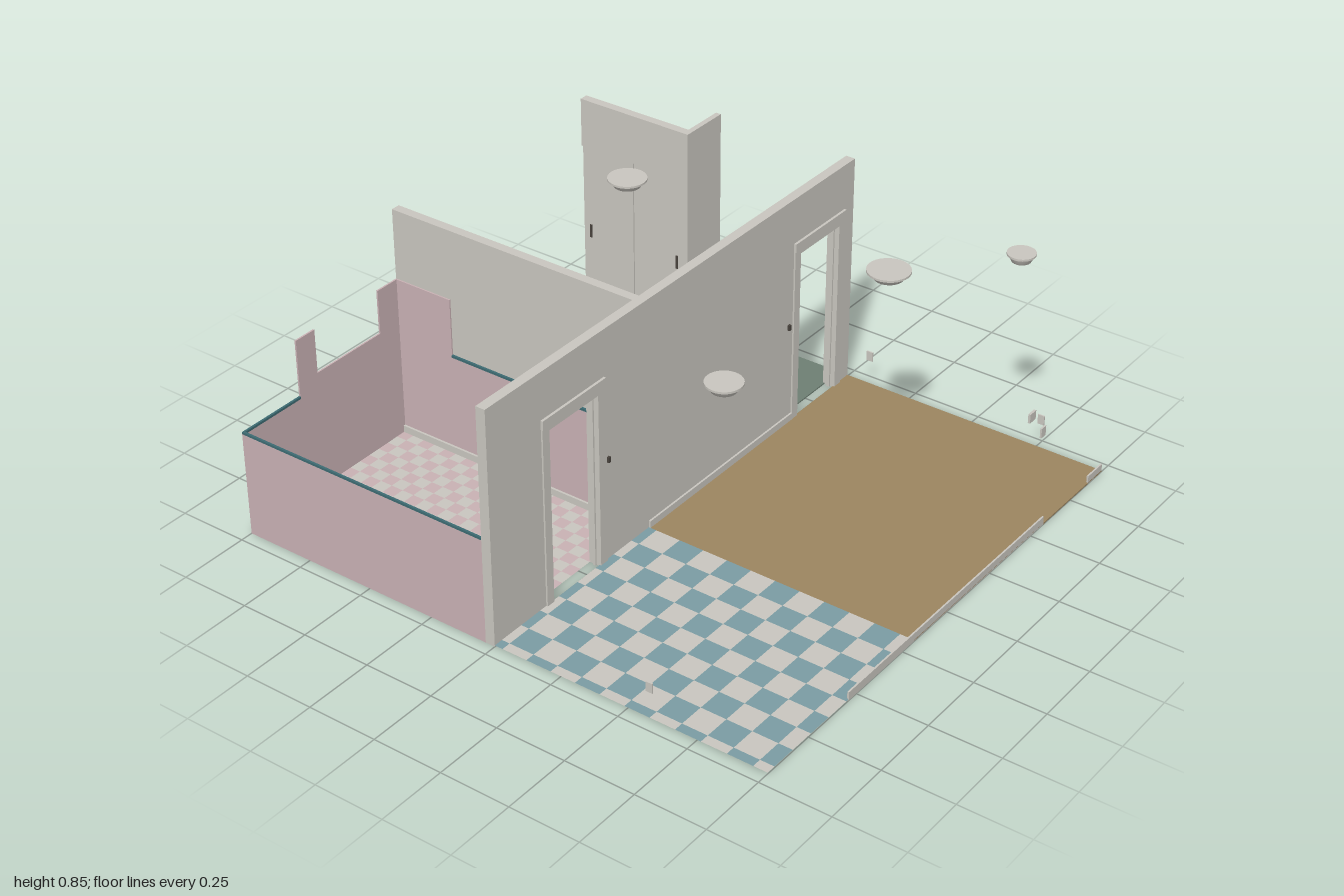
import * as THREE from 'three';
import { mergeGeometries } from 'three/addons/utils/BufferGeometryUtils.js';

const D = 0.955; // half depth of the plan
const WX = -0.035; // left face of the long inner wall (right face is x = 0)
const FLOOR = 0.005;

function mat(name, hex, side = THREE.FrontSide) {
  const m = new THREE.MeshStandardMaterial({ color: hex, side });
  m.name = name;
  return m;
}

export function createModel() {
  const root = new THREE.Group();
  root.name = 'apartment';
  const wall = mat('warm grey', 0xc9c6bf);
  const pale = mat('pale tile', 0xc9c6bf, THREE.DoubleSide);
  const pink = mat('pink wall', 0xc9b1b4);
  const pinkTile = mat('pink tile', 0xc9b1b4, THREE.DoubleSide);
  const blueTile = mat('blue tile', 0x7b9ca3, THREE.DoubleSide);
  const green = mat('green carpet', 0x6e7f73);
  const tan = mat('tan carpet', 0x9c8560);
  const wood = mat('brown wood', 0x67483a);
  const teal = mat('teal trim', 0x3d6b72);
  const dark = mat('dark metal', 0x4a443e);

  const add = (name, geo, material, parent = root) => {
    const m = new THREE.Mesh(geo, material);
    m.name = name;
    parent.add(m);
    return m;
  };
  // Box given by its limits on each axis
  const box = (name, material, x0, x1, y0, y1, z0, z1, parent = root) => {
    const g = new THREE.BoxGeometry(x1 - x0, y1 - y0, z1 - z0);
    g.translate((x0 + x1) / 2, (y0 + y1) / 2, (z0 + z1) / 2);
    return add(name, g, material, parent);
  };
  // Upright slab: outline in (z, y), thickness along x
  const sideSlab = (name, material, pts, x0, thick) => {
    const shape = new THREE.Shape(pts.map(([z, y]) => new THREE.Vector2(-z, y)));
    const g = new THREE.ExtrudeGeometry(shape, { depth: thick, bevelEnabled: false });
    g.rotateY(Math.PI / 2).translate(x0, 0, 0);
    return add(name, g, material);
  };

  // Carpeted floors
  box('greenFloor', green, -1, WX, 0, FLOOR, -D, 0.18);
  box('tanFloor', tan, 0, 1, 0, FLOOR, -D, 0.185);

  // Chequered floors, clipped to their room
  const checker = (name, x0, x1, z0, z1, startX, size, materials, flip) => {
    const sets = [[], []];
    for (let j = 0; z0 + j * size < z1 - 1e-4; j++) {
      for (let i = 0; startX + i * size < x1 - 1e-4; i++) {
        const a = Math.max(x0, startX + i * size), b = Math.min(x1, startX + (i + 1) * size);
        const c = z0 + j * size, d = Math.min(z1, c + size);
        const g = new THREE.PlaneGeometry(b - a, d - c).rotateX(-Math.PI / 2);
        sets[(i + j + flip) % 2].push(g.translate((a + b) / 2, FLOOR, (c + d) / 2));
      }
    }
    sets.forEach((s, k) => add(name + (k ? 'PaleTiles' : 'ColourTiles'), mergeGeometries(s), materials[k]));
  };
  checker('kitchenFloor', 0, 1, 0.185, D, 0.03 - 0.092, 0.092, [blueTile, pale], 0);
  checker('bathroomFloor', -1, WX, 0.215, D, -1, 0.0462, [pinkTile, pale], 0);

  // Long inner wall with two door openings
  const doors = [[0.44, 0.675], [-0.865, -0.64]];
  const outline = [[D, 0], [D, 0.845], [-D, 0.845], [-D, 0]];
  for (const [a, b] of [...doors].reverse()) outline.push([a, 0], [a, 0.632], [b, 0.632], [b, 0]);
  sideSlab('innerWall', wall, outline, WX, -WX);

  // Door casings on both faces
  for (const [a, b] of doors) {
    const casing = new THREE.Group();
    casing.name = 'doorCasing';
    root.add(casing);
    for (const [x0, x1, s] of [[0, 0.006, 1], [WX - 0.006, WX, -1]]) {
      box('casingPost', wall, x0, x1, 0, 0.632, a - 0.035, a, casing);
      box('casingPost', wall, x0, x1, 0, 0.632, b, b + 0.032, casing);
      box('casingHead', wall, x0, x1, 0.632, 0.648, a - 0.035, b + 0.032, casing);
      const e = s > 0 ? [0, 0.009] : [WX - 0.009, WX];
      box('casingCap', wall, ...e, 0.648, 0.68, a - 0.036, b + 0.033, casing);
    }
    // Jamb stops lining the opening
    box('jambStop', wall, -0.023, -0.012, 0, 0.632, a, a + 0.006, casing);
    box('jambStop', wall, -0.023, -0.012, 0, 0.632, b - 0.006, b, casing);
  }
  for (const z of [0.39, -0.585]) {
    box('wallSwitch', dark, 0, 0.008, 0.365, 0.385, z - 0.005, z + 0.005);
    box('wallSwitch', wall, WX - 0.008, WX, 0.36, 0.39, z - 0.012, z + 0.012);
  }

  // Cross wall between the green room and the bathroom
  box('crossWall', wall, -1, WX, 0, 0.845, 0.18, 0.213);

  // Bathroom wainscot with its teal edge
  box('frontWainscot', pink, -1, WX, 0, 0.376, D - 0.006, D);
  box('frontTrim', teal, -1, WX, 0.376, 0.384, D - 0.008, D);
  sideSlab('leftWainscot', pink, [[D, 0], [D, 0.376], [0.695, 0.376], [0.695, 0.59], [0.61, 0.59],
    [0.61, 0.43], [0.31, 0.43], [0.31, 0.59], [0.213, 0.59], [0.213, 0]], -1, 0.006);
  box('leftTrim', teal, -1, -0.992, 0.376, 0.384, 0.695, D);
  box('backWainscot', pink, -1, WX, 0, 0.376, 0.213, 0.218);
  box('backTallWainscot', pink, -1, -0.77, 0.376, 0.59, 0.213, 0.218);
  box('backTrim', teal, -0.77, WX, 0.376, 0.384, 0.213, 0.221);
  for (const [z0, z1] of [[0.218, 0.405], [0.708, D - 0.006]]) {
    box('rightWainscot', pink, WX - 0.004, WX, 0, 0.376, z0, z1);
    box('rightTrim', teal, WX - 0.007, WX, 0.376, 0.384, z0, z1);
  }

  // Skirting boards
  box('bathroomSkirting', wall, -0.994, WX, FLOOR, 0.03, 0.218, 0.226);
  box('greenRoomSkirting', wall, -1, WX, FLOOR, 0.03, 0.172, 0.18);
  box('greenRoomSkirting', wall, WX - 0.007, WX, FLOOR, 0.03, -0.608, 0.172);
  box('tanRoomSkirting', wall, 0, 0.007, FLOOR, 0.03, -0.608, 0.185);
  box('outerSkirting', wall, 0.994, 1, 0, 0.03, -0.58, 0.54);
  box('outerSkirting', wall, 0.994, 1, 0, 0.03, -D, -0.865);
  const strip = new THREE.PlaneGeometry(0.94, 0.03).rotateY(Math.PI / 2).translate(-0.999, 0.015, -0.295);
  add('leftSkirting', strip, wall);

  // Built-in wardrobe
  const wardrobe = new THREE.Group();
  wardrobe.name = 'wardrobe';
  root.add(wardrobe);
  box('wardrobeSide', wall, -0.565, -0.545, 0, 0.845, -D, -0.765, wardrobe);
  box('wardrobeHeader', wall, -1, -0.565, 0.665, 0.845, -0.797, -0.765, wardrobe);
  box('wardrobePlinth', wall, -1, -0.565, 0, 0.03, -0.797, -0.77, wardrobe);
  [[-1, -0.784], [-0.78, -0.565]].forEach(([a, b], i) => {
    box('wardrobeDoor', wall, a, b, 0.03, 0.662, -0.788, -0.773, wardrobe);
    const h = i ? b - 0.03 : a + 0.03;
    for (const z of [-0.792, -0.773]) {
      box('doorHandle', dark, h - 0.004, h + 0.004, 0.31, 0.36, z, z + 0.004, wardrobe);
    }
  });
  box('wardrobeShelf', wood, -1, -0.565, 0.535, 0.547, -0.95, -0.798, wardrobe);

  // Ceiling lamps: flat top, rim, bowl narrowing downwards
  for (const [x, z, r] of [[-0.525, -0.405, 0.066], [0.49, -0.405, 0.071], [0.765, -0.74, 0.047], [0.46, 0.425, 0.06]]) {
    const pts = [[0, 0.812], [0.55, 0.812], [0.68, 0.816], [0.88, 0.835], [0.88, 0.835], [1, 0.838], [1, 0.838], [1, 0.845], [1, 0.845], [0, 0.845]];
    const g = new THREE.LatheGeometry(pts.map(([k, y]) => new THREE.Vector2(k * r, y)), 32);
    add('ceilingLamp', g.translate(x, 0, z), wall);
  }

  // Sockets and switches of the outer walls
  for (const [x, z] of [[0.09, -D], [0.765, -D], [0.58, D - 0.005]]) {
    box('socket', wall, x - 0.012, x + 0.012, 0.097, 0.132, z, z + 0.005);
  }
  box('thermostat', wall, 0.992, 1, 0.455, 0.487, -0.475, -0.441);
  box('lightSwitch', wall, 0.994, 1, 0.358, 0.393, -0.548, -0.522);

  return root;
}
